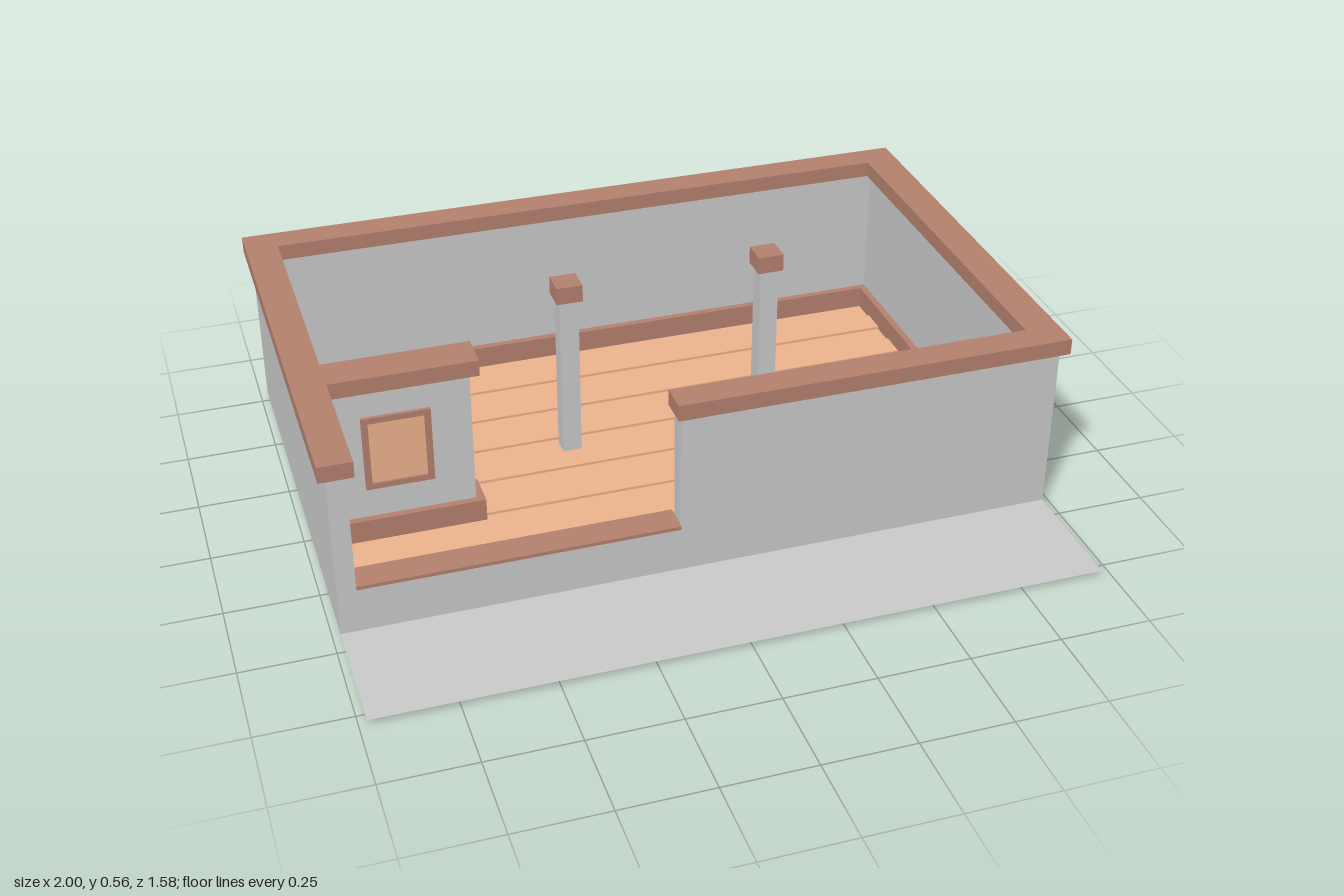
import * as THREE from 'three';

const GREY = new THREE.MeshStandardMaterial({ color: 0xcccccc });
const THIN = new THREE.MeshStandardMaterial({ color: 0xcccccc, side: THREE.DoubleSide });
const TRIM = new THREE.MeshStandardMaterial({ color: 0xb58270 });
const WOOD = new THREE.MeshStandardMaterial({ color: 0xf0b48e });

// Box given by its two opposite corners
function box(parent, name, mat, x0, x1, y0, y1, z0, z1) {
  const mesh = new THREE.Mesh(new THREE.BoxGeometry(x1 - x0, y1 - y0, z1 - z0), mat);
  mesh.position.set((x0 + x1) / 2, (y0 + y1) / 2, (z0 + z1) / 2);
  mesh.name = name;
  parent.add(mesh);
}

// Upright thin panel between two ground points
function panel(parent, name, xa, za, xb, zb, y0, y1) {
  const mesh = new THREE.Mesh(new THREE.PlaneGeometry(Math.hypot(xb - xa, zb - za), y1 - y0), THIN);
  mesh.position.set((xa + xb) / 2, (y0 + y1) / 2, (za + zb) / 2);
  mesh.rotation.y = Math.atan2(za - zb, xb - xa);
  mesh.name = name;
  parent.add(mesh);
}

export function createModel() {
  const model = new THREE.Group();
  const L = -0.98, R = 0.975, B = -0.775, F = 0.445; // outer wall faces
  const T = 0.05, LIP = 0.02;                        // wall thickness, trim overhang
  const G = 0.015, BASE = 0.09, TOP = 0.485, CAP = 0.53;
  const DOOR = -0.08, SILL = 0.15;                   // opening edge and sill height
  const iL = L + T, iR = R - T, iB = B + T, iF = F - T;

  // Walls: solid above the baseboard, a hollow skirt below it
  const walls = new THREE.Group();
  walls.name = 'walls';
  box(walls, 'backWall', GREY, L, R, BASE, TOP, B, iB);
  box(walls, 'rightWall', GREY, L, iL, BASE, TOP, iB, F);
  box(walls, 'leftWall', GREY, iR, R, BASE, TOP, iB, F);
  box(walls, 'frontWall', GREY, DOOR, iR, BASE, TOP, iF, F);
  box(walls, 'lowFrontWall', GREY, iL, DOOR, BASE, SILL, iF, F);
  const corners = [[L, F], [R, F], [R, B], [L, B]];
  corners.forEach(([x, z], i) => {
    const [x2, z2] = corners[(i + 1) % 4];
    panel(walls, 'wallSkirt', x, z, x2, z2, G, BASE);
  });
  model.add(walls);

  // Coping on top of the walls
  const coping = new THREE.Group();
  coping.name = 'coping';
  const cF = F + 0.013, cB = B - 0.015;
  box(coping, 'backCoping', TRIM, -1, 1, TOP, CAP, cB, iB + LIP);
  box(coping, 'rightCoping', TRIM, -1, iL + LIP, TOP, CAP, iB + LIP, cF);
  box(coping, 'leftCoping', TRIM, iR - LIP, 1, TOP, CAP, iB + LIP, cF);
  box(coping, 'frontCoping', TRIM, DOOR - 0.01, iR - LIP, TOP, CAP, iF - LIP, cF);
  model.add(coping);
  box(model, 'sill', TRIM, iL, DOOR, SILL, SILL + 0.01, iF - LIP, F + 0.012);

  // Baseboards along the inner wall faces
  const baseboards = new THREE.Group();
  baseboards.name = 'baseboards';
  box(baseboards, 'backBaseboard', TRIM, iL, iR, G, BASE, iB, iB + LIP);
  box(baseboards, 'frontBaseboard', TRIM, iL, iR, G, BASE, iF - LIP, iF);
  box(baseboards, 'rightBaseboard', TRIM, iL, iL + LIP, G, BASE, iB + LIP, iF - LIP);
  box(baseboards, 'leftBaseboard', TRIM, iR - LIP, iR, G, BASE, iB + LIP, iF - LIP);
  model.add(baseboards);

  // Floor boards at alternating heights
  const floor = new THREE.Group();
  floor.name = 'floor';
  const N = 14, z0 = iB + LIP, step = (iF - LIP - z0) / N;
  for (let i = 0; i < N; i++) {
    const y = i % 2 ? 0.018 : 0.01;
    box(floor, 'floorBoard', WOOD, iL + LIP, iR - LIP, y, y + 0.015, z0 + i * step, z0 + (i + 1) * step);
  }
  model.add(floor);

  // Partition with its trim and framed window
  const partition = new THREE.Group();
  partition.name = 'partition';
  const px = -0.535, pB = 0, pF = 0.065;
  box(partition, 'partitionWall', GREY, iL, px, G, TOP, pB, pF);
  box(partition, 'partitionCoping', TRIM, iL + LIP, px + 0.023, TOP - 0.003, CAP - 0.002, pB - LIP, pF + LIP);
  box(partition, 'partitionBaseboard', TRIM, iL + LIP, px + 0.023, G, BASE, pB - LIP, pF + LIP);
  const wx0 = -0.83, wx1 = -0.645, wy0 = 0.18, wy1 = 0.4, w = 0.017;
  box(partition, 'windowPane', WOOD, wx0 + w, wx1 - w, wy0 + w, wy1 - w, pB - 0.003, pF + 0.003);
  for (const x of [wx0, wx1 - w]) box(partition, 'windowJamb', TRIM, x, x + w, wy0, wy1, pB - 0.01, pF + 0.01);
  for (const y of [wy0, wy1 - w]) box(partition, 'windowRail', TRIM, wx0 + w, wx1 - w, y, y + w, pB - 0.01, pF + 0.01);
  model.add(partition);

  // Free-standing columns
  for (const x of [-0.198, 0.387]) {
    const column = new THREE.Group();
    column.name = 'column';
    const square = (name, mat, h, a, b) => box(column, name, mat, -h, h, a, b, -h, h);
    square('shaft', GREY, 0.027, 0, 0.52);
    square('capital', TRIM, 0.037, 0.51, 0.56);
    square('base', TRIM, 0.037, 0.002, 0.02);
    column.position.set(x, 0, -0.203);
    model.add(column);
  }

  // Ground strip in front
  const ground = new THREE.Mesh(new THREE.PlaneGeometry(R - L, 0.79 - F), THIN);
  ground.rotation.x = -Math.PI / 2;
  ground.position.set((L + R) / 2, G, (0.79 + F) / 2);
  ground.name = 'frontPavement';
  model.add(ground);

  return model;
}
